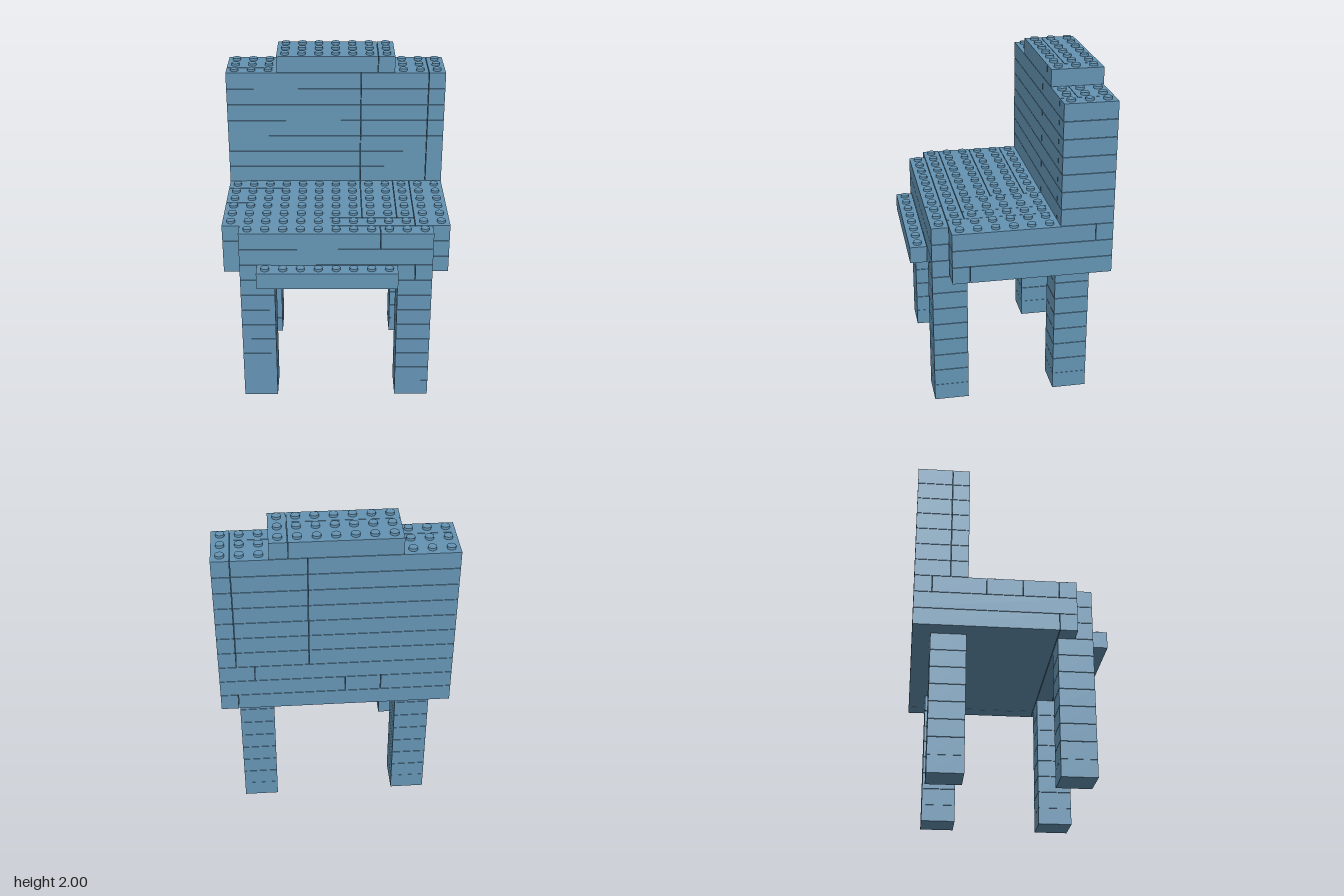
import * as THREE from 'three';

const P = 0.1047;   // grid pitch
const H = 0.1045;   // layer height
const GAP = 0.003;  // joint between bricks
const STUD_R = 0.025, STUD_H = 0.0155;
const gx = i => (i - 6.5) * P;
const gz = j => (j - 5.5) * P;

export function createModel() {
  const chair = new THREE.Group();
  chair.name = 'brickChair';
  const blue = new THREE.MeshStandardMaterial({ color: 0x6494b4 });
  blue.name = 'dusty blue';
  const studGeo = new THREE.CylinderGeometry(STUD_R, STUD_R, STUD_H, 20);

  const part = name => {
    const g = new THREE.Group();
    g.name = name;
    chair.add(g);
    return g;
  };

  // One brick spanning grid columns i0..i1 and rows j0..j1 on a layer
  const brick = (group, layer, [i0, i1, j0, j1]) => {
    const geo = new THREE.BoxGeometry((i1 - i0) * P - GAP, H - GAP, (j1 - j0) * P - GAP);
    const mesh = new THREE.Mesh(geo, blue);
    mesh.name = 'brick';
    mesh.position.set((gx(i0) + gx(i1)) / 2, (layer + 0.5) * H - GAP / 2, (gz(j0) + gz(j1)) / 2);
    if (layer === 0) mesh.position.y += GAP / 2;
    group.add(mesh);
  };

  // A field of studs on top of a layer
  const studs = (group, layer, [i0, i1, j0, j1]) => {
    for (let i = i0; i < i1; i++) {
      for (let j = j0; j < j1; j++) {
        const stud = new THREE.Mesh(studGeo, blue);
        stud.name = 'stud';
        stud.position.set(gx(i + 0.5), (layer + 1) * H - GAP + STUD_H / 2, gz(j + 0.5));
        group.add(stud);
      }
    }
  };

  // Four legs of eight stacked bricks
  for (const [name, i, j] of [
    ['frontRightLeg', 1, 8], ['frontLeftLeg', 10, 8],
    ['backRightLeg', 1, 1], ['backLeftLeg', 10, 1],
  ]) {
    const leg = part(name);
    for (let k = 0; k < 8; k++) brick(leg, k, [i, i + 2, j, j + 2]);
  }

  // Seat: three layers with staggered joints
  const seat = part('seat');
  const seatLayers = {
    8: [[0, 12, 0, 8], [12, 13, 0, 8], [0, 13, 8, 9], [1, 11, 9, 10], [11, 12, 9, 10]],
    9: [[0, 4, 0, 9], [4, 6, 0, 9], [6, 13, 0, 9], [1, 12, 9, 10]],
    10: [[0, 11, 0, 1], [11, 13, 0, 1], [0, 8, 1, 4], [0, 8, 4, 6], [0, 8, 6, 8],
      [8, 10, 1, 8], [10, 11, 1, 8], [0, 11, 8, 9], [11, 13, 1, 9],
      [1, 9, 9, 10], [9, 12, 9, 10]],
  };
  for (const [layer, bricks] of Object.entries(seatLayers)) {
    bricks.forEach(b => brick(seat, Number(layer), b));
  }
  studs(seat, 10, [0, 13, 3, 9]);
  studs(seat, 10, [1, 12, 9, 10]);

  // Low ledge along the front edge
  const ledge = part('frontLedge');
  brick(ledge, 8, [2, 10, 10, 11]);
  studs(ledge, 8, [2, 10, 10, 11]);

  // Backrest: seven identical layers
  const back = part('backrest');
  for (let k = 11; k < 18; k++) {
    for (const b of [[0, 8, 0, 2], [0, 8, 2, 3], [8, 12, 0, 2], [8, 12, 2, 3], [12, 13, 0, 3]]) {
      brick(back, k, b);
    }
  }
  studs(back, 17, [0, 3, 0, 3]);
  studs(back, 17, [10, 13, 0, 3]);

  // Raised cap in the middle of the backrest
  const cap = part('backrestCap');
  for (const b of [[3, 9, 0, 2], [3, 9, 2, 3], [9, 10, 0, 3]]) brick(cap, 18, b);
  studs(cap, 18, [3, 10, 0, 3]);

  return chair;
}
